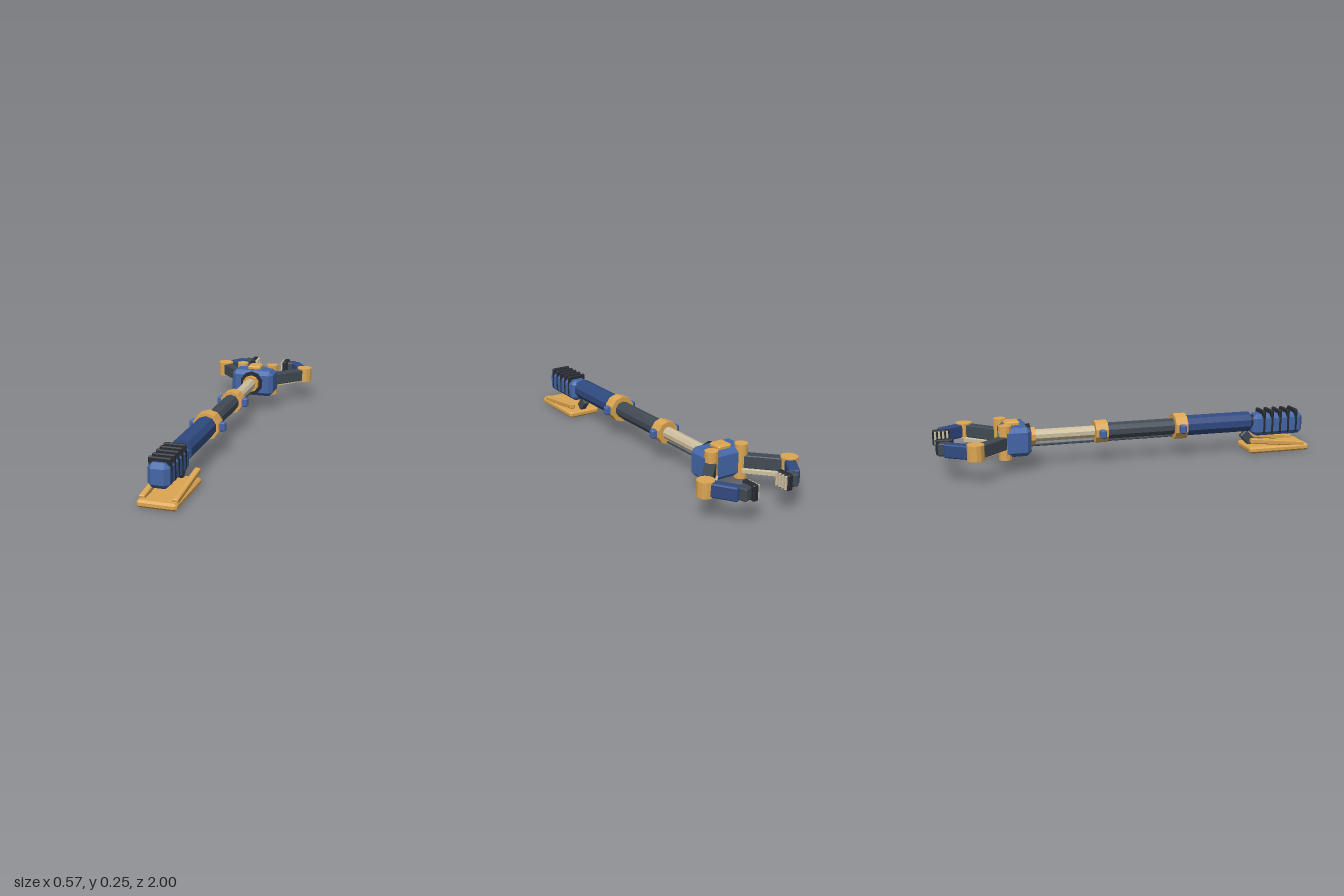
import * as THREE from 'three';
import { ConvexGeometry } from 'three/addons/geometries/ConvexGeometry.js';

const mat = (color) => new THREE.MeshStandardMaterial({ color, flatShading: true });
const BLUE = mat(0x4467a8), NAVY = mat(0x304a80), GOLD = mat(0xdca653);
const SLATE = mat(0x414a54), BLACK = mat(0x272b33), BEIGE = mat(0xcdbf9f);
const AXIS_Y = 0.16; // height of the pole's centre line

// Box with every edge cut at 45 degrees
function chamferBox(w, h, d, c) {
  const pts = [];
  for (const sx of [-1, 1]) for (const sy of [-1, 1]) for (const sz of [-1, 1]) {
    const x = w / 2, y = h / 2, z = d / 2;
    pts.push(
      new THREE.Vector3(sx * x, sy * (y - c), sz * (z - c)),
      new THREE.Vector3(sx * (x - c), sy * y, sz * (z - c)),
      new THREE.Vector3(sx * (x - c), sy * (y - c), sz * z));
  }
  return new ConvexGeometry(pts);
}

export function createModel() {
  const root = new THREE.Group();
  root.name = 'grabberTool';

  const add = (name, geo, material, x, y, z, parent = root) => {
    const m = new THREE.Mesh(geo, material);
    m.name = name;
    m.position.set(x, y, z);
    parent.add(m);
    return m;
  };
  // Box given by its limits
  const block = (name, material, x0, x1, y0, y1, z0, z1, c = 0.006, parent = root) =>
    add(name, chamferBox(Math.abs(x1 - x0), y1 - y0, z1 - z0, c), material,
      (x0 + x1) / 2, (y0 + y1) / 2, (z0 + z1) / 2, parent);
  // Cylinder lying along z
  const tube = (name, material, r, z0, z1, y = AXIS_Y, sides = 10) =>
    add(name, new THREE.CylinderGeometry(r, r, z1 - z0, sides).rotateX(Math.PI / 2),
      material, 0, y, (z0 + z1) / 2);
  // Box stretched between two points
  const bar = (name, material, a, b, w, h, c = 0.004, parent = root) => {
    const A = new THREE.Vector3(...a), B = new THREE.Vector3(...b);
    const mid = A.clone().add(B).multiplyScalar(0.5);
    const m = add(name, chamferBox(w, h, A.distanceTo(B), c), material, mid.x, mid.y, mid.z, parent);
    m.lookAt(B);
    return m;
  };

  // Foot plate, pivot and struts
  block('footPlate', GOLD, -0.094, 0.094, 0, 0.035, 0.655, 1, 0.01);
  bar('footPivot', SLATE, [0, 0.04, 0.7], [0, 0.1, 0.645], 0.032, 0.05, 0.005);
  for (const s of [-1, 1])
    bar('footStrut', GOLD, [s * 0.077, 0.035, 0.97], [s * 0.077, 0.07, 0.66], 0.029, 0.026);

  // Ribbed grip
  block('grip', BLUE, -0.052, 0.052, 0.084, 0.202, 0.69, 0.98, 0.022);
  for (let i = 0; i < 5; i++) {
    const z = 0.75 + i * 0.0465;
    block('gripRib', BLACK, -0.054, 0.054, 0.1, 0.222, z - 0.009, z + 0.009, 0.005);
  }
  tube('gripNeck', BLACK, 0.036, 0.66, 0.72);

  // Telescoping pole
  tube('outerTube', NAVY, 0.055, 0.25, 0.675);
  tube('middleTube', SLATE, 0.044, -0.15, 0.28);
  tube('innerTube', BEIGE, 0.032, -0.53, -0.14);
  tube('pullRod', SLATE, 0.006, -0.54, 0.3, 0.11, 6);
  tube('headCollar', GOLD, 0.046, -0.53, -0.497);
  tube('headFlange', BLACK, 0.066, -0.537, -0.523);
  for (const [z, r] of [[0.277, 0.07], [-0.153, 0.06]]) {
    tube('collar', GOLD, r, z - 0.033, z + 0.033);
    for (const s of [-1, 1])
      block('collarButton', BLUE, s * (r - 0.01), s * (r + 0.024), 0.136, 0.182, z - 0.016, z + 0.016);
  }

  // Head
  block('head', BLUE, -0.12, 0.12, 0.082, 0.228, -0.677, -0.53, 0.022);
  block('headCap', GOLD, -0.038, 0.038, 0.222, 0.247, -0.652, -0.576, 0.007);

  // Mirrored claw arms
  for (const s of [-1, 1]) {
    const arm = new THREE.Group();
    arm.name = s > 0 ? 'leftClaw' : 'rightClaw';
    root.add(arm);
    const post = (name, r, h, x, y, z) =>
      add(name, new THREE.CylinderGeometry(r, r, h, 12), GOLD, s * x, y, z, arm);
    post('shoulderPost', 0.033, 0.172, 0.088, 0.156, -0.66);
    post('elbowPost', 0.043, 0.077, 0.244, 0.157, -0.825);
    bar('upperArm', SLATE, [s * 0.088, 0.157, -0.66], [s * 0.244, 0.157, -0.825], 0.052, 0.064, 0.004, arm);
    bar('linkRod', BEIGE, [s * 0.075, 0.113, -0.685], [s * 0.205, 0.113, -0.83], 0.018, 0.024, 0.002, arm);
    bar('forearm', NAVY, [s * 0.244, 0.157, -0.825], [s * 0.158, 0.157, -0.957], 0.052, 0.068, 0.006, arm);
    bar('wrist', SLATE, [s * 0.162, 0.157, -0.962], [s * 0.105, 0.157, -0.96], 0.055, 0.062, 0.005, arm).rotateY(s * 0.25);
    block('fingerPad', BLACK, s * 0.085, s * 0.115, 0.119, 0.197, -1, -0.915, 0.006, arm);
    for (let i = 0; i < 4; i++) {
      const z = -0.987 + i * 0.02;
      block('padTooth', BEIGE, s * 0.074, s * 0.09, 0.124, 0.192, z - 0.005, z + 0.005, 0.002, arm);
    }
  }
  return root;
}
